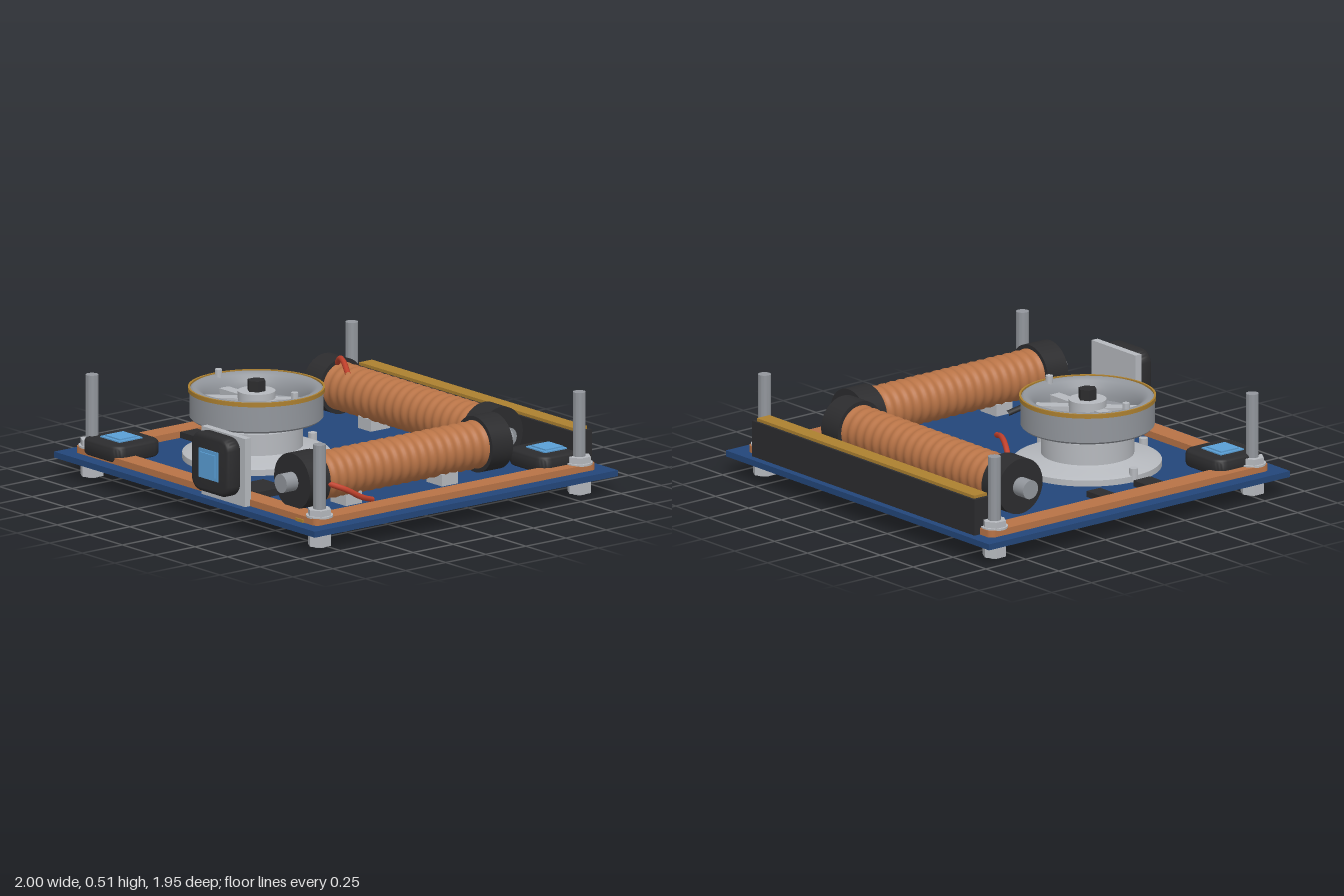
import * as THREE from 'three';
import { toCreasedNormals } from 'three/addons/utils/BufferGeometryUtils.js';

const mat = (name, color, extra = {}) => Object.assign(new THREE.MeshStandardMaterial({ color, ...extra }), { name });
const M = {
  board: mat('board blue', 0x23467a),
  copper: mat('copper', 0xb87346),
  dark: mat('dark plastic', 0x2c2c2e),
  glass: mat('sensor blue', 0x5a9fd6),
  silver: mat('light metal', 0xb6b9be),
  steel: mat('grey metal', 0x92969c),
  gold: mat('gold', 0xac8030),
  red: mat('red wire', 0xc2412c),
};

export function createModel() {
  const root = new THREE.Group();

  function add(name, geo, material, x = 0, y = 0, z = 0, parent = root) {
    const m = new THREE.Mesh(geo, material);
    m.name = name;
    m.position.set(x, y, z);
    parent.add(m);
    return m;
  }
  // Box given by its limits on each axis
  const box = (name, material, x0, x1, y0, y1, z0, z1, parent) =>
    add(name, new THREE.BoxGeometry(x1 - x0, y1 - y0, z1 - z0), material,
      (x0 + x1) / 2, (y0 + y1) / 2, (z0 + z1) / 2, parent);
  // Upright cylinder from y0 to y1
  const post = (name, material, r, y0, y1, x, z, sides = 28, parent = root) =>
    add(name, toCreasedNormals(new THREE.CylinderGeometry(r, r, y1 - y0, sides), 0.6), material,
      x, (y0 + y1) / 2, z, parent);
  const lathe = (pts, seg = 64) =>
    toCreasedNormals(new THREE.LatheGeometry(pts.map(p => new THREE.Vector2(...p)), seg), 0.6);
  const wire = (name, material, pts) =>
    add(name, new THREE.TubeGeometry(new THREE.CatmullRomCurve3(pts.map(p => new THREE.Vector3(...p))), 24, 0.014, 8), material);
  // Rounded rectangle outline, for shapes and holes
  function roundRect(path, x0, x1, y0, y1, r) {
    path.absarc(x1 - r, y1 - r, r, 0, Math.PI / 2);
    path.absarc(x0 + r, y1 - r, r, Math.PI / 2, Math.PI);
    path.absarc(x0 + r, y0 + r, r, Math.PI, Math.PI * 1.5);
    path.absarc(x1 - r, y0 + r, r, Math.PI * 1.5, Math.PI * 2);
    path.closePath();
    return path;
  }

  // Circuit board and the flat copper loop on it
  box('board', M.board, -1, 1, 0.09, 0.12, -0.98, 0.91);
  const loop = roundRect(new THREE.Shape(), -0.93, 0.925, -0.84, 0.91, 0.03);
  loop.holes.push(roundRect(new THREE.Path(), -0.82, 0.82, -0.735, 0.81, 0.1));
  const loopGeo = new THREE.ExtrudeGeometry(loop, { depth: 0.033, bevelEnabled: false, curveSegments: 8 });
  add('flatCoil', loopGeo.rotateX(-Math.PI / 2), M.copper, 0, 0.12, 0);

  // Corner rods with nuts, washers and feet
  for (const x of [-0.873, 0.873]) for (const z of [-0.842, 0.777]) {
    post('rod', M.steel, 0.031, 0.05, 0.51, x, z);
    post('washer', M.silver, 0.066, 0.15, 0.16, x, z);
    post('nut', M.silver, 0.06, 0.16, 0.19, x, z, 6);
    post('foot', M.silver, 0.06, 0.008, 0.09, x, z, 6);
    post('footEnd', M.steel, 0.034, 0, 0.02, x, z);
  }

  // Rear connector with its contact strip
  box('connector', M.dark, -0.845, 0.845, 0.12, 0.3, -0.943, -0.835);
  box('contactStrip', M.gold, -0.825, 0.825, 0.3, 0.315, -0.93, -0.85);

  // Wound rod: built along y, then laid down; a and b are the winding ends
  function woundRod(name, a, b, coreA, coreB) {
    const g = new THREE.Group();
    g.name = name;
    const pts = [], turns = 18, n = turns * 6;
    for (let i = 0; i <= n; i++)
      pts.push(new THREE.Vector2(0.115 + 0.004 * Math.cos(i / n * turns * 2 * Math.PI), a + (b - a) * i / n));
    add('winding', new THREE.LatheGeometry(pts, 36), M.copper, 0, 0, 0, g);
    post('core', M.steel, 0.047, coreA, coreB, 0, 0, 28, g);
    post('endCap', M.dark, 0.139, a - 0.128, a, 0, 0, 40, g);
    post('endCap', M.dark, 0.139, b, b + 0.128, 0, 0, 40, g);
    root.add(g);
    return g;
  }
  const rear = woundRod('rearCoil', -0.46, 0.63, -0.655, 0.835);
  rear.rotation.z = Math.PI / 2;
  rear.position.set(0, 0.279, -0.583);
  const side = woundRod('sideCoil', -0.37, 0.638, -0.58, 0.838);
  side.rotation.x = Math.PI / 2;
  side.position.set(0.65, 0.279, 0);
  for (const t of [-0.3, 0.3]) {
    box('coilSupport', M.silver, t - 0.13, t - 0.03, 0.12, 0.18, -0.64, -0.52);
    box('coilSupport', M.silver, 0.59, 0.71, 0.12, 0.18, t + 0.08, t + 0.18);
  }

  // Coil leads
  wire('redLead', M.red, [[-0.64, 0.39, -0.56], [-0.58, 0.435, -0.53], [-0.49, 0.445, -0.48], [-0.375, 0.415, -0.415]]);
  wire('redLead', M.red, [[0.775, 0.275, 0.65], [0.82, 0.24, 0.57], [0.825, 0.19, 0.48], [0.795, 0.155, 0.385]]);
  wire('blackLead', M.dark, [[0.525, 0.275, 0.65], [0.48, 0.24, 0.57], [0.48, 0.19, 0.48], [0.51, 0.155, 0.385]]);

  // Sun sensors: rounded housing facing local +y with a blue window
  function sensor(x, y, z) {
    const g = new THREE.Group();
    g.name = 'sunSensor';
    const b = 0.022, s = 0.147 - b;
    const geo = new THREE.ExtrudeGeometry(roundRect(new THREE.Shape(), -s, s, -s, s, 0.045),
      { depth: 0.085 - 2 * b, bevelThickness: b, bevelSize: b, bevelSegments: 4, curveSegments: 6 });
    geo.rotateX(-Math.PI / 2);
    add('housing', toCreasedNormals(geo, 0.7), M.dark, 0, b, 0, g);
    box('window', M.glass, -0.073, 0.073, 0.083, 0.091, -0.073, 0.073, g);
    box('windowCentre', M.glass, -0.056, 0.056, 0.09, 0.098, -0.056, 0.056, g);
    g.position.set(x, y, z);
    root.add(g);
    return g;
  }
  sensor(-0.738, 0.123, 0.703);
  sensor(0.715, 0.123, -0.77);
  sensor(0.248, 0.312, 0.872).rotation.x = Math.PI / 2;
  box('sensorPlate', M.silver, 0.085, 0.418, 0.12, 0.46, 0.835, 0.872);

  // Small board components
  box('chip', M.dark, -0.82, -0.7, 0.12, 0.15, -0.12, -0.035);
  box('chip', M.dark, -0.82, -0.71, 0.12, 0.15, 0.165, 0.27);
  box('chip', M.dark, 0.155, 0.34, 0.12, 0.155, 0.545, 0.73);
  box('solderTab', M.gold, 0.775, 0.83, 0.12, 0.135, 0.82, 0.848);

  // Flywheel on its flanged base
  const wheel = new THREE.Group();
  wheel.name = 'flywheel';
  wheel.position.set(-0.296, 0, 0.22);
  root.add(wheel);
  add('base', lathe([[0, 0.12], [0.36, 0.12], [0.36, 0.15], [0.33, 0.162], [0.26, 0.172],
    [0.226, 0.185], [0.226, 0.29], [0, 0.29]]), M.silver, 0, 0, 0, wheel);
  post('shaft', M.steel, 0.07, 0.28, 0.33, 0, 0, 28, wheel);
  add('rim', lathe([[0, 0.32], [0.315, 0.32], [0.325, 0.33], [0.325, 0.465], [0.312, 0.474], [0.295, 0.474],
    [0.275, 0.462], [0.256, 0.436], [0.247, 0.4], [0.245, 0.375], [0, 0.375]]), M.steel, 0, 0, 0, wheel);
  add('rimBand', lathe([[0.322, 0.455], [0.332, 0.455], [0.332, 0.476], [0.322, 0.476], [0.322, 0.455]]), M.gold, 0, 0, 0, wheel);
  for (const a of [0, Math.PI / 4, Math.PI, Math.PI * 1.25]) {
    const spoke = new THREE.Group();
    spoke.name = 'spoke';
    spoke.rotation.y = a;
    box('spokeBar', M.silver, 0.06, 0.252, 0.385, 0.42, -0.03, 0.03, spoke);
    wheel.add(spoke);
  }
  post('hub', M.silver, 0.092, 0.37, 0.455, 0, 0, 32, wheel);
  post('hubBolt', M.dark, 0.046, 0.45, 0.508, 0, 0, 6, wheel);
  for (const s of [-1, 1]) {
    post('rimPin', M.silver, 0.018, 0.46, 0.503, s * 0.292, 0, 16, wheel);
    post('baseBolt', M.silver, 0.022, 0.12, 0.188, s * 0.35, 0, 16, wheel);
    post('baseBolt', M.silver, 0.022, 0.12, 0.188, 0, s * 0.35, 16, wheel);
  }
  return root;
}
